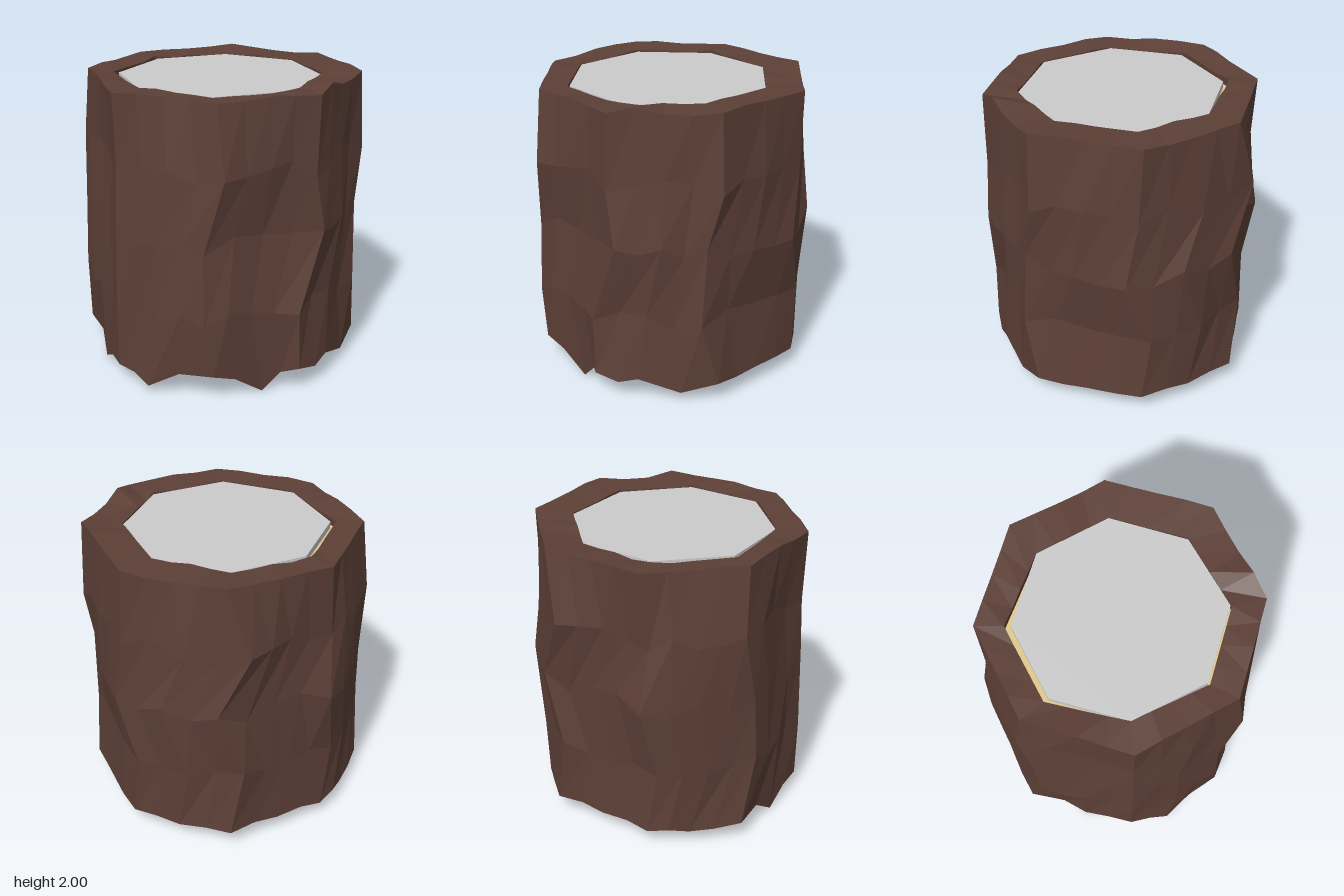
import * as THREE from 'three';

const SIDES = 8, SUB = 4, COLS = SIDES * SUB;

// Corner positions (x, z) of each bark ring, starting at the front and turning towards +x.
const RINGS = [
  { y: 0.57, c: [0, 0.915, 0.62, 0.7, 0.9, 0.14, 0.73, -0.55, -0.06, -0.9, -0.7, -0.57, -0.88, 0.1, -0.63, 0.7] },
  { y: 1.05, c: [0, 0.9, 0.6, 0.69, 0.925, -0.04, 0.7, -0.57, 0.11, -0.915, -0.6, -0.71, -0.93, 0, -0.64, 0.68] },
  { y: 1.5, c: [0, 0.885, 0.72, 0.62, 0.905, 0.02, 0.67, -0.66, 0.03, -0.91, -0.75, -0.57, -0.87, 0.05, -0.71, 0.62] },
  { y: 1.96, c: [0, 0.9, 0.65, 0.62, 0.905, 0, 0.66, -0.64, 0, -0.91, -0.62, -0.65, -0.885, 0, -0.65, 0.62] },
];
const INNER = [0, 0.69, 0.49, 0.51, 0.685, 0.03, 0.48, -0.45, 0, -0.65, -0.47, -0.45, -0.7, 0.02, -0.5, 0.52];
const CORE = [0, 0.69, 0.48, 0.5, 0.68, 0.02, 0.48, -0.45, 0, -0.65, -0.47, -0.45, -0.66, 0.02, -0.47, 0.5];

// Outward swell of the three ridges on each side of the trunk.
const RIDGES = [
  [0.04, 0.05, 0.03], [0.02, 0, -0.02], [0.01, 0.02, 0.01], [0.03, 0.04, 0.04],
  [0.05, 0.1, 0.05], [0, -0.01, -0.01], [0.05, 0.06, 0.05], [0.03, 0.01, 0],
];

// Ragged lower edge, column by column.
const HEM = [
  [0, 0.11, 0.91], [0.14, 0.1, 0.89], [0.27, 0.05, 0.88], [0.44, 0.16, 0.76],
  [0.65, 0.18, 0.65], [0.69, 0.13, 0.5], [0.74, 0, 0.31], [0.8, 0.12, 0.2],
  [0.905, 0.16, 0.13], [0.89, 0.12, -0.03], [0.86, 0.16, -0.16], [0.76, 0.07, -0.42],
  [0.66, 0.14, -0.64], [0.5, 0.12, -0.7], [0.35, 0.13, -0.77], [0.17, 0.13, -0.85],
  [0, 0.12, -0.9], [-0.17, 0.14, -0.86], [-0.33, 0.12, -0.8], [-0.5, 0.14, -0.72],
  [-0.65, 0.13, -0.64], [-0.7, 0.14, -0.46], [-0.76, 0.12, -0.3], [-0.82, 0.13, -0.12],
  [-0.87, 0.1, 0.03], [-0.87, 0.13, 0.17], [-0.83, 0.11, 0.3], [-0.78, 0.12, 0.46],
  [-0.71, 0.14, 0.63], [-0.48, 0.13, 0.7], [-0.33, 0.01, 0.78], [-0.16, 0.1, 0.85],
];
// Raised points of the rim.
const CREST = { 9: 2, 13: 1.985 };

function seeded(seed) {
  return () => {
    seed = (seed * 16807) % 2147483647;
    return seed / 2147483647;
  };
}

// Point on a polygon edge, SUB columns per side.
function onPolygon(corners, j) {
  const a = Math.floor(j / SUB), b = (a + 1) % SIDES, t = (j % SUB) / SUB;
  return [
    THREE.MathUtils.lerp(corners[2 * a], corners[2 * b], t),
    THREE.MathUtils.lerp(corners[2 * a + 1], corners[2 * b + 1], t),
  ];
}

const columns = (fn) => Array.from({ length: COLS }, (_, j) => fn(j));

// Joins equal rows of points, each closed around the trunk.
function skin(rows, closed) {
  const index = [], n = rows[0].length, last = closed ? rows.length : rows.length - 1;
  for (let i = 0; i < last; i++) {
    for (let j = 0; j < n; j++) {
      const up = ((i + 1) % rows.length) * n, k = (j + 1) % n;
      index.push(i * n + j, i * n + k, up + k, i * n + j, up + k, up + j);
    }
  }
  const g = new THREE.BufferGeometry();
  g.setAttribute('position', new THREE.Float32BufferAttribute(rows.flat(2), 3));
  g.setIndex(index);
  const flat = g.toNonIndexed();
  flat.computeVertexNormals();
  return flat;
}

function barkGeometry() {
  const rand = seeded(417);
  const rows = [HEM];
  // Outer rings, ridged between the corners; the rim stays nearly straight.
  for (const { y, c } of RINGS) {
    const rim = y > 1.9;
    rows.push(columns((j) => {
      const [x, z] = onPolygon(c, j);
      const ridge = j % SUB ? RIDGES[Math.floor(j / SUB)][j % SUB - 1] - rand() * 0.035 : 0;
      const s = rim ? 1 : 1 + ridge;
      const h = y + (rand() - 0.5) * (rim ? 0.03 : 0.12);
      return [x * s, (rim && CREST[j]) || h, z * s];
    }));
  }
  // Inner edge of the rim, then the ragged inner edge underneath.
  rows.push(columns((j) => {
    const [x, z] = onPolygon(INNER, j);
    return [x, 1.95 + (rand() - 0.5) * 0.02, z];
  }));
  rows.push(columns((j) => {
    const [x, z] = onPolygon(INNER, j), s = 0.99 + rand() * 0.08;
    return [x * s, 0.15 + rand() * 0.04, z * s];
  }));
  return skin(rows, true);
}

function ring(corners, y, s) {
  return Array.from({ length: SIDES }, (_, i) => [corners[2 * i] * s, y, corners[2 * i + 1] * s]);
}

// Flat octagonal face, turned up or down.
function face(corners, y, s, up) {
  const shape = new THREE.Shape(ring(corners, y, s).map(([x, , z]) => new THREE.Vector2(x, up ? -z : z)));
  return new THREE.ShapeGeometry(shape).rotateX(up ? -Math.PI / 2 : Math.PI / 2).translate(0, y, 0);
}

export function createModel() {
  const bark = new THREE.MeshStandardMaterial({ color: 0x5d4037, flatShading: true });
  const wood = new THREE.MeshStandardMaterial({ color: 0xe0c98a, flatShading: true });
  const grey = new THREE.MeshStandardMaterial({ color: 0xcccccc });
  const group = new THREE.Group();
  group.name = 'treeStump';

  const add = (name, geometry, material) => {
    const mesh = new THREE.Mesh(geometry, material);
    mesh.name = name;
    group.add(mesh);
  };
  add('bark', barkGeometry(), bark);

  // Grey cut slab resting on a slightly wider wooden core.
  add('cutTop', face(CORE, 1.945, 1, true), grey);
  add('cutSide', skin([ring(CORE, 1.9, 1), ring(CORE, 1.945, 1)], false), grey);
  add('coreTop', face(CORE, 1.9, 1.06, true), wood);
  add('coreSide', skin([ring(CORE, 0.175, 1.06), ring(CORE, 1.9, 1.06)], false), wood);
  add('coreBottom', face(CORE, 0.175, 1.06, false), wood);
  return group;
}
